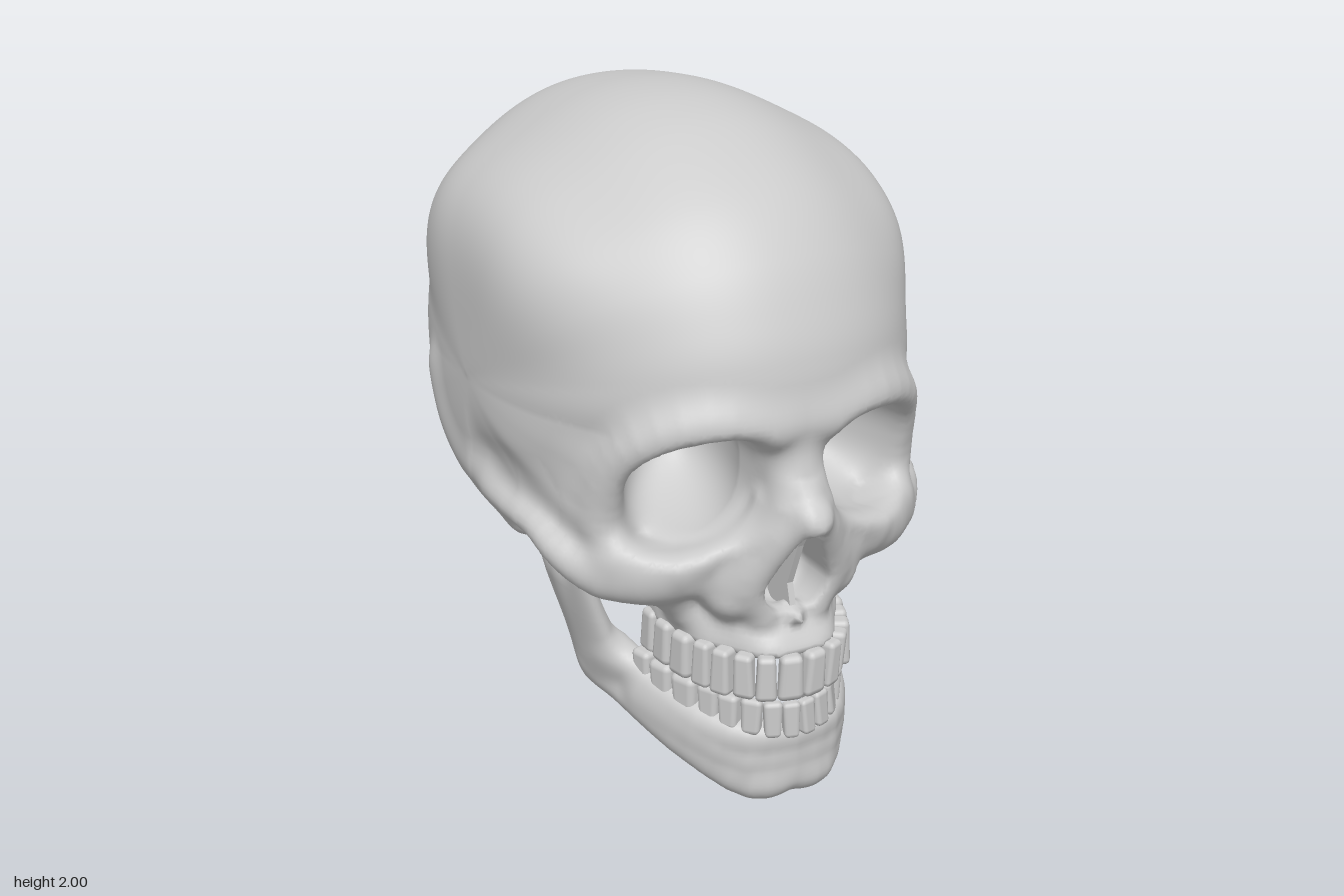
import * as THREE from 'three';
import { RoundedBoxGeometry } from 'three/addons/geometries/RoundedBoxGeometry.js';

const bone = new THREE.MeshStandardMaterial({ color: 0xcccccc, roughness: 0.8 });
const { clamp, lerp, smoothstep } = THREE.MathUtils;

// Soft union, soft intersection
const join = (a, b, k) => { const h = Math.max(k - Math.abs(a - b), 0) / k; return Math.min(a, b) - h * h * k / 4; };
const meet = (a, b, k) => -join(-a, -b, k);

// Distance to a chain of tapered limbs through [x, y, z, radius] points
function chain(x, y, z, pts) {
  let best = 1e9;
  for (let i = 0; i < pts.length - 1; i++) {
    const [ax, ay, az, ar] = pts[i], [bx, by, bz, br] = pts[i + 1];
    const dx = bx - ax, dy = by - ay, dz = bz - az;
    const t = clamp(((x - ax) * dx + (y - ay) * dy + (z - az) * dz) / (dx * dx + dy * dy + dz * dz), 0, 1);
    best = Math.min(best, Math.hypot(x - ax - dx * t, y - ay - dy * t, z - az - dz * t) - lerp(ar, br, t));
  }
  return best;
}

// Rounds the bends of a chain with extra points
function bend(pts, parts = 3) {
  const curve = new THREE.CatmullRomCurve3(pts.map(p => new THREE.Vector3(...p)));
  const last = pts.length - 1;
  return Array.from({ length: last * parts + 1 }, (_, i) => {
    const t = i / parts, a = Math.min(Math.floor(t), last - 1);
    return [...curve.getPoint(t / last), lerp(pts[a][3], pts[a + 1][3], t - a)];
  });
}

// Side outline of the braincase (z, y), turned into a radius per angle about (0, MID)
const MID = 1.2, BINS = 720;
const outline = new THREE.CatmullRomCurve3([
  [-.91, 1], [-.86, .86], [-.79, .785], [-.65, .66], [-.55, .605], [-.4, .565], [-.19, .55], [-.1, .6], [-.04, .7],
  [.06, .79], [.3, .83], [.58, .86], [.72, 1], [.79, 1.13], [.835, 1.28], [.82, 1.41], [.775, 1.53], [.695, 1.67],
  [.56, 1.81], [.32, 1.94], [.16, 1.985], [0, 2], [-.2, 1.985], [-.5, 1.91], [-.74, 1.74], [-.87, 1.51], [-.94, 1.22],
].map(([z, y]) => new THREE.Vector3(z, y - MID, 0)), true).getPoints(2000);
const START = Math.atan2(outline[0].y, outline[0].x);
const turn = (y, z) => { const a = Math.atan2(y, z) - START; return a < -1e-9 ? a + 2 * Math.PI : a; };
const radii = [];
for (let b = 0, i = 0; b <= BINS; b++) {
  const a = b / BINS * 2 * Math.PI;
  while (i < 1998 && turn(outline[i + 1].y, outline[i + 1].x) < a) i++;
  const p = outline[i], q = outline[i + 1], a0 = turn(p.y, p.x), a1 = turn(q.y, q.x);
  radii.push(lerp(p.length(), q.length(), clamp((a - a0) / (a1 - a0 || 1), 0, 1)));
}

function braincase(x, y, z) {
  const dy = y - MID, flat = Math.hypot(dy, z) + 1e-6;
  const t = Math.max(turn(dy, z), 0) / (2 * Math.PI) * BINS, i = Math.min(Math.floor(t), BINS - 1);
  const rho = flat / lerp(radii[i], radii[i + 1], t - i), u = x / .67, s = dy / flat;
  const n = 2.1 + .8 * Math.max(-s, 0) * smoothstep(z, -.6, -.1);
  // Upper sides bulge into a soft corner
  const corner = .1 * smoothstep(s, .2, .95) * Math.exp(-(((Math.atan2(u, rho) - .99) / .29) ** 2));
  const r = Math.max((rho ** n + u ** n) ** (1 / n) / (1 + corner), .05);
  return Math.hypot(x, dy, z) * (1 - 1 / r);
}

const brow = bend([[0, 1.215, .795, .045], [.1, 1.215, .795, .05], [.27, 1.235, .755, .05], [.42, 1.18, .66, .05], [.475, 1.08, .585, .045], [.49, .93, .535, .047], [.48, .82, .55, .05]]);
const lowerRim = bend([[.11, .98, .75, .04], [.2, .86, .73, .045], [.33, .8, .69, .05], [.46, .81, .59, .05]], 2);
const cheek = bend([[.16, .75, .7, .06], [.36, .74, .64, .065], [.49, .735, .545, .065], [.575, .785, .46, .05], [.61, .835, .33, .035], [.615, .84, .1, .032], [.585, .86, -.02, .04]]);
const cheekRoot = [[.38, .75, .6, .065], [.25, .6, .56, .05]];
const temple = [[.42, 1.05, .44, .1], [.45, .91, .42, .12], [.5, .9, .22, .1], [.52, .9, .05, .08]];
const noseBridge = [[0, 1.14, .79, .045], [0, 1.05, .815, .045], [0, .94, .908, .036]];
const noseRim = bend([[.02, .955, .885, .035], [.085, .84, .82, .04], [.13, .72, .77, .04], [.09, .62, .76, .04]]);
const noseFlank = bend([[.03, 1.1, .76, .05], [.05, .97, .81, .06], [.11, .84, .76, .06], [.17, .68, .71, .07]], 2);
const noseSpine = [[0, .61, .76, .035], [0, .606, .83, .012]];
const earRidge = bend([[.585, .87, .03, .035], [.585, .9, -.12, .035], [.595, 1, -.24, .03], [.6, 1.12, -.3, .025]]);
const mastoid = [[.45, .82, -.08, .09], [.41, .64, -.14, .07]];

function skullField(px, y, z) {
  const x = Math.abs(px);
  let d = braincase(x, y, z);
  d = join(d, chain(x, y, z, mastoid), .08);
  d = join(d, chain(x, y, z, earRidge), .1);
  d = join(d, chain(x, y, z, temple), .1);
  // Middle of the face
  d = join(d, (Math.hypot(x / .36, (y - .86) / .19, (z - .52) / .22) - 1) * .19, .06);
  // Upper jaw with its hollow palate
  const depth = .485 - .07 * smoothstep(y, .5, .63);
  let jaw = (Math.hypot(x / .28, (z - .37) / depth) - 1) * .28;
  // Faint root ridges above the teeth
  jaw += .005 * Math.cos(Math.atan2(x, z - .37) * 13) * smoothstep(-y, -.63, -.53);
  jaw = meet(meet(jaw, .37 - z, .04), meet(.49 - y, y - .88, .02), .03);
  const palate = (Math.hypot(x / .18, (z - .34) / .4) - 1) * .18;
  jaw = meet(jaw, -meet(palate, y - .6, .06), .03);
  d = join(d, jaw, .08);
  d = join(d, chain(x, y, z, brow), .09);
  d = join(d, chain(x, y, z, lowerRim), .06);
  d = join(d, chain(x, y, z, cheek), .07);
  d = join(d, chain(x, y, z, cheekRoot), .07);
  d = join(d, chain(x, y, z, noseFlank), .06);
  d = join(d, chain(x, y, z, noseBridge), .05);
  d = join(d, chain(x, y, z, noseRim), .04);
  // Eye sockets: rounded squares that shrink and lean inwards with depth
  const back = Math.max(.64 - z, 0);
  const dx = Math.abs(x - .283 + .3 * back) / .18, dy = Math.abs(y - 1.02 + .2 * (x - .29)) / .172;
  const size = Math.sqrt(Math.max(0, 1 - (back / .34) ** 2));
  d = meet(d, (size - (dx ** 2.5 + dy ** 2.5) ** (1 / 2.5)) * .172, .045);
  // Pear-shaped nose opening
  const pear = chain(x, y, 0, [[0, .72, 0, .106], [0, .875, 0, .035]]);
  d = meet(d, -meet(pear, .65 - z, .04), .012);
  return join(d, chain(x, y, z, noseSpine), .03);
}

const lowerBorder = bend([[0, .072, .757, .07], [.1, .068, .745, .066], [.22, .135, .61, .058], [.29, .2, .43, .056], [.345, .27, .22, .055]]);
const bodyPlate = bend([[0, .15, .765, .055], [.12, .15, .745, .055], [.22, .2, .62, .052], [.29, .25, .43, .05]], 2);
const gumBorder = bend([[0, .22, .785, .048], [.13, .225, .755, .048], [.22, .25, .63, .048], [.285, .295, .44, .05], [.34, .36, .32, .05]]);
const condyle = bend([[0, .775, .028, .035], [0, .56, .112, .058], [0, .3, .17, .07]], 2);
const coronoid = bend([[0, .745, .33, .025], [0, .6, .305, .06], [0, .36, .28, .08]], 2);
const ramusPlate = [[0, .565, .205, .085], [0, .33, .23, .11]];

function mandibleField(px, y, z) {
  const x = Math.abs(px);
  let d = join(chain(x, y, z, lowerBorder), chain(x, y, z, gumBorder), .06);
  d = join(d, chain(x, y, z, bodyPlate), .05);
  // The upright branch is a thin plate leaning outwards
  const side = (x - (.345 + .2 * (clamp(y, .25, .85) - .25) + .03 * smoothstep(y, .3, .6))) * 1.8;
  let ramus = join(chain(side, y, z, condyle), chain(side, y, z, coronoid), .08);
  ramus = join(ramus, chain(side, y, z, ramusPlate), .06) * .75;
  d = join(d, ramus, .05);
  // Chin notch
  return d + .008 * Math.exp(-((x / .03) ** 2)) * smoothstep(-y, -.12, 0);
}

// Skin a field: one vertex per crossed cell, one quad per crossed edge
function sculpt(name, field, lo, hi, h) {
  const n = lo.map((v, i) => Math.ceil((hi[i] - v) / h) + 1), step = [1, n[0], n[0] * n[1]];
  const val = new Float32Array(n[0] * n[1] * n[2]), vert = new Int32Array(val.length).fill(-1);
  const pos = [], nor = [], idx = [];
  const each = (from, cut, fn) => {
    for (let k = from; k < n[2] - cut; k++) for (let j = from; j < n[1] - cut; j++) for (let i = from; i < n[0] - cut; i++)
      fn(i, j, k, i + j * step[1] + k * step[2]);
  };
  each(0, 0, (i, j, k, c) => { val[c] = field(lo[0] + i * h, lo[1] + j * h, lo[2] + k * h); });
  each(0, 1, (i, j, k, c) => {
    const sum = [0, 0, 0]; let count = 0;
    for (let corner = 0; corner < 8; corner++) for (let a = 0; a < 3; a++) {
      if (corner >> a & 1) continue;
      const o = [corner & 1, corner >> 1 & 1, corner >> 2 & 1];
      const at = c + o[0] + o[1] * step[1] + o[2] * step[2], v0 = val[at], v1 = val[at + step[a]];
      if (v0 < 0 === v1 < 0) continue;
      o[a] += v0 / (v0 - v1);
      o.forEach((v, m) => { sum[m] += v; });
      count++;
    }
    if (!count) return;
    const p = [i, j, k].map((v, m) => lo[m] + (v + sum[m] / count) * h), e = .006;
    const g = new THREE.Vector3(
      field(p[0] + e, p[1], p[2]) - field(p[0] - e, p[1], p[2]),
      field(p[0], p[1] + e, p[2]) - field(p[0], p[1] - e, p[2]),
      field(p[0], p[1], p[2] + e) - field(p[0], p[1], p[2] - e)).normalize();
    vert[c] = pos.length / 3;
    pos.push(...p);
    nor.push(g.x, g.y, g.z);
  });
  each(1, 1, (i, j, k, c) => {
    for (let a = 0; a < 3; a++) {
      if (val[c] < 0 === val[c + step[a]] < 0) continue;
      const b = step[(a + 1) % 3], d = step[(a + 2) % 3];
      const q = [c - b - d, c - d, c, c - b].map(v => vert[v]);
      if (val[c] >= 0) q.reverse();
      idx.push(q[0], q[1], q[2], q[0], q[2], q[3]);
    }
  });
  const geo = new THREE.BufferGeometry();
  geo.setAttribute('position', new THREE.Float32BufferAttribute(pos, 3));
  geo.setAttribute('normal', new THREE.Float32BufferAttribute(nor, 3));
  geo.setIndex(idx);
  const mesh = new THREE.Mesh(geo, bone);
  mesh.name = name;
  return mesh;
}

// A row of teeth along a dental arch; root is +1 for upper teeth, -1 for lower
function teethRow(name, arch, widths, root, place) {
  const row = new THREE.Group(), total = widths.reduce((a, b) => a + b);
  row.name = name;
  const curve = new THREE.CatmullRomCurve3(arch.map(([x, z]) => new THREE.Vector3(x, 0, z)));
  let run = 0;
  widths.forEach((w, i) => {
    const u = (run + w / 2) / total, [y, h] = place(u), depth = i < 3 ? .055 : i < 5 ? .075 : .095;
    run += w;
    const geo = new RoundedBoxGeometry(w * 1.05, h, depth, 2, w * .27), p = geo.attributes.position;
    for (let v = 0; v < p.count; v++) {
      const t = clamp(root * p.getY(v) / h + .5, 0, 1);
      p.setX(v, p.getX(v) * (1 - .2 * t));
      p.setZ(v, p.getZ(v) * (i < 3 ? .5 + .5 * t : 1 - .15 * t));
    }
    const at = curve.getPointAt(u), tan = curve.getTangentAt(u);
    for (const s of [1, -1]) {
      const tooth = new THREE.Mesh(geo, bone);
      tooth.name = 'tooth';
      tooth.position.set(at.x * s, y, at.z);
      tooth.rotation.y = s * Math.atan2(-tan.z, tan.x);
      row.add(tooth);
    }
  });
  return row;
}

export function createModel() {
  const model = new THREE.Group();
  model.name = 'skull';
  model.add(sculpt('cranium', skullField, [-.738, .44, -1], [.738, 2.05, 1], .018));
  model.add(sculpt('mandible', mandibleField, [-.574, -.05, -.06], [.574, .87, .9], .014));
  model.add(teethRow('upperTeeth', [[0, .855], [.13, .81], [.215, .68], [.25, .53], [.255, .385]],
    [.078, .062, .065, .065, .065, .085, .08, .072], 1, u => [.435 + .025 * u, .15 - .015 * u]));
  model.add(teethRow('lowerTeeth', [[0, .835], [.11, .795], [.2, .66], [.26, .51], [.292, .39]],
    [.052, .056, .065, .065, .07, .09, .085, .07], -1, u => [.285 + .06 * u, .11 + .01 * u]));
  // Thin wall dividing the nose opening
  const wall = new THREE.Shape([[.63, .61], [.79, .61], [.765, .7], [.82, .84], [.87, .93], [.63, .93]].map(p => new THREE.Vector2(...p)));
  const septum = new THREE.Mesh(new THREE.ExtrudeGeometry(wall, { depth: .02, bevelEnabled: false }).rotateY(-Math.PI / 2).translate(.01, 0, 0), bone);
  septum.name = 'nasalSeptum';
  model.add(septum);
  return model;
}
